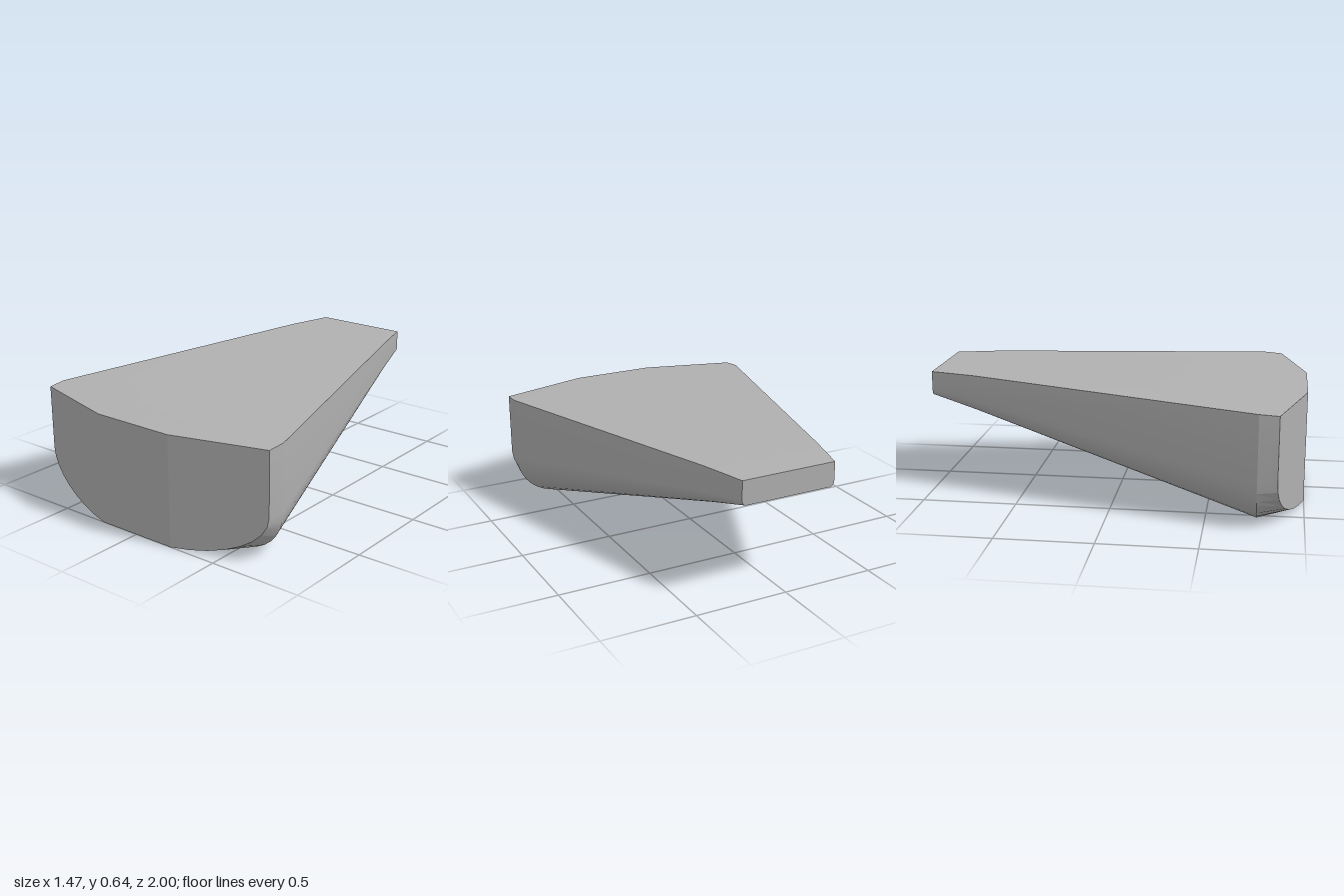
import * as THREE from 'three';
import { toCreasedNormals } from 'three/addons/utils/BufferGeometryUtils.js';

const STEPS = 8; // facets in each rounded lower corner

// Cross-sections front to back: depth, half width, deck height, keel height, corner radii
const SECTIONS = [
  { z: 1.0, w: 0.73, top: 0.59, keel: 0, rx: 0.5, ry: 0.25, bowed: true },
  { z: 0.76, w: 0.735, top: 0.597, keel: 0, rx: 0.25, ry: 0.24 },
  { z: -0.75, w: 0.328, top: 0.645, keel: 0.442, rx: 0.08, ry: 0.07 },
  { z: -0.88, w: 0.292, top: 0.645, keel: 0.48, rx: 0.05, ry: 0.05 },
  { z: -1.0, w: 0.26, top: 0.645, keel: 0.515, rx: 0.025, ry: 0.03 },
];

// Columns from left to right, each with an upper and a lower point
function sectionColumns({ z, w, top, keel, rx, ry, bowed }) {
  const half = [];
  for (let i = 0; i <= STEPS; i++) {
    const t = (i / STEPS) * Math.PI / 2;
    const x = w - rx + rx * Math.sin(t);
    const depth = bowed ? z - Math.max(0, x - 0.23) * 0.28 : z;
    half.push({ x, z: depth, low: keel + ry * (1 - Math.cos(t)) });
  }
  const mirrored = half.map((p) => ({ ...p, x: -p.x })).reverse();
  return [...mirrored, ...half].map((p) => ({
    top: [p.x, top, p.z],
    bottom: [p.x, p.low, p.z],
  }));
}

function wedgeGeometry() {
  const rows = SECTIONS.map(sectionColumns);
  const last = rows.length - 1;
  const end = rows[0].length - 1;
  const positions = [];
  const quad = (a, b, c, d) => positions.push(...a, ...b, ...c, ...a, ...c, ...d);

  for (let s = 0; s < last; s++) {
    const f = rows[s];
    const r = rows[s + 1];
    for (let j = 0; j < end; j++) {
      quad(f[j].top, f[j + 1].top, r[j + 1].top, r[j].top);
      quad(r[j].bottom, r[j + 1].bottom, f[j + 1].bottom, f[j].bottom);
    }
    // Side walls
    quad(f[end].bottom, r[end].bottom, r[end].top, f[end].top);
    quad(f[0].top, r[0].top, r[0].bottom, f[0].bottom);
  }
  // Front and back walls
  for (let j = 0; j < end; j++) {
    const f = rows[0];
    const r = rows[last];
    quad(f[j].bottom, f[j + 1].bottom, f[j + 1].top, f[j].top);
    quad(r[j].top, r[j + 1].top, r[j + 1].bottom, r[j].bottom);
  }
  const geometry = new THREE.BufferGeometry();
  geometry.setAttribute('position', new THREE.Float32BufferAttribute(positions, 3));
  return toCreasedNormals(geometry, 0.25);
}

export function createModel() {
  const group = new THREE.Group();
  group.name = 'taperedWedge';
  const grey = new THREE.MeshStandardMaterial({ color: 0xb0b0b0 });
  grey.name = 'light grey';
  const body = new THREE.Mesh(wedgeGeometry(), grey);
  body.name = 'wedgeBody';
  group.add(body);
  return group;
}
